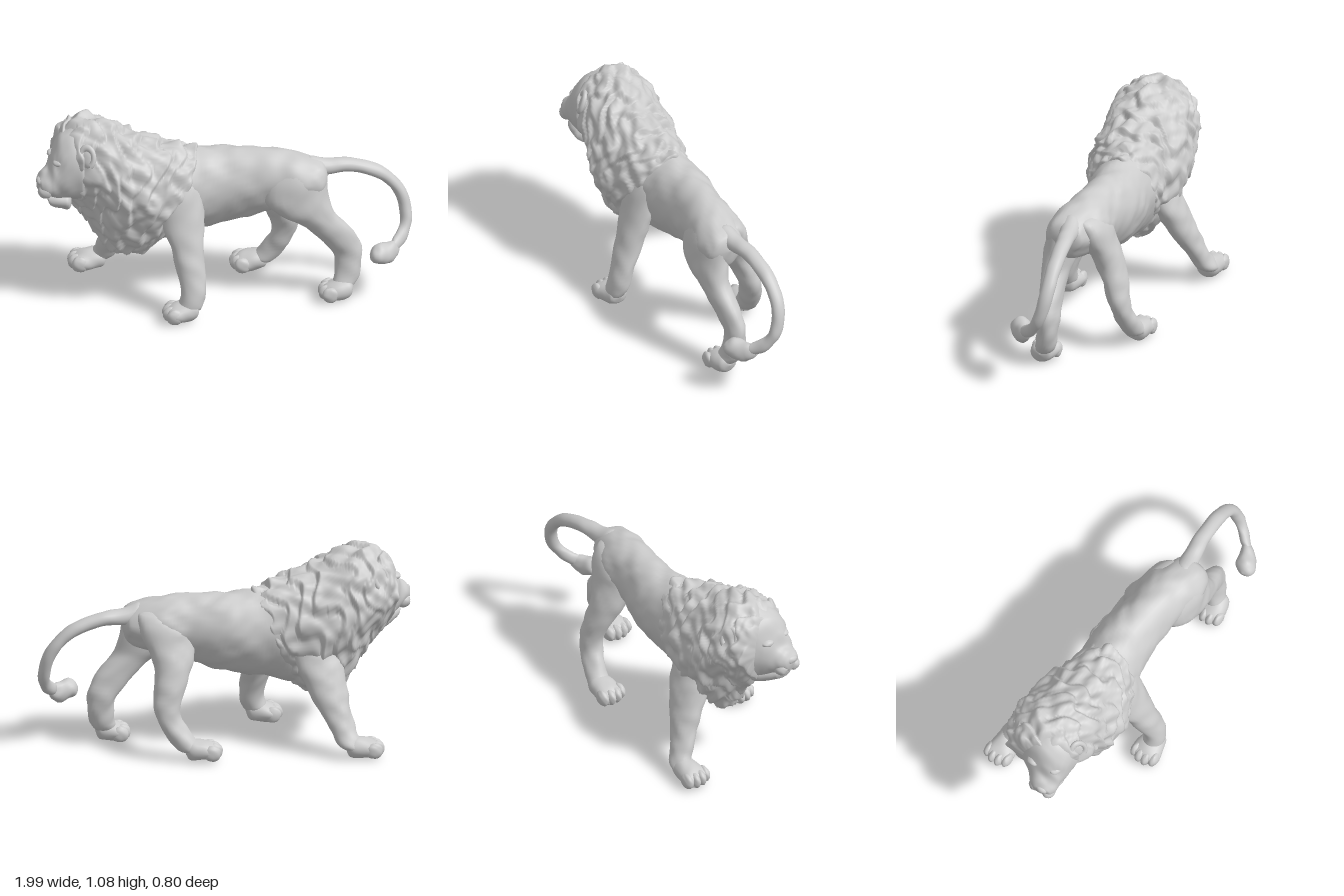
import * as THREE from 'three';
import { mergeVertices } from 'three/addons/utils/BufferGeometryUtils.js';

const material = new THREE.MeshStandardMaterial({ color: 0xcccccc, roughness: 0.8 });
const V = (x, y, z = 0) => new THREE.Vector3(x, y, z);

// Smooth pseudo-noise in about -1..1
const noise = (x, y, z) =>
  (Math.sin(x * 1.3 + 2.1 * Math.sin(y * 0.9 + z)) +
   Math.sin(y * 1.7 + 1.7 * Math.sin(z * 1.1 - x)) +
   Math.sin(z * 1.5 + 1.9 * Math.sin(x * 0.8 + y))) / 3;

// Loft of oval sections [x1, y1, x2, y2, z, halfWidth]: the two points span the
// oval in side view, z and halfWidth place it sideways. Ends are domed.
// taper narrows the second side, yaw turns the first end sideways.
function loft(name, sections, { rings = 40, sides = 28, dome = 0.06, bump = 0.005, taper = 0, yaw = 0, shape = () => 1 } = {}) {
  const curve = (f) => new THREE.CatmullRomCurve3(sections.map(f), false, 'catmullrom', 0.5);
  const first = curve((s) => V(s[0], s[1]));
  const second = curve((s) => V(s[2], s[3]));
  const across = curve((s) => V(s[4], s[5]));
  const pos = [], index = [];
  for (let i = 0; i <= rings; i++) {
    const t = i / rings;
    const a = first.getPoint(t), b = second.getPoint(t), w = across.getPoint(t);
    const mid = a.clone().add(b).multiplyScalar(0.5);
    const half = a.sub(b).multiplyScalar(0.5);
    const e = Math.min(1, Math.min(t, 1 - t) / dome);
    const end = Math.max(0.02, Math.sqrt(1 - (1 - e) ** 2));
    for (let j = 0; j < sides; j++) {
      const ang = (j / sides) * Math.PI * 2;
      const c = Math.cos(ang);
      const s = Math.sin(ang) * (1 - taper * Math.max(0, -c));
      const k = end * shape(t, ang);
      const p = V(mid.x + half.x * c * k, mid.y + half.y * c * k, w.x + w.y * s * k);
      const n = noise(p.x * 32, p.y * 28, p.z * 32) * bump * end;
      const dir = V(half.x * c, half.y * c, w.y * s).normalize();
      p.addScaledVector(dir, n);
      p.x += yaw * (1 - t) * (p.z - w.x);
      pos.push(p.x, p.y, p.z);
      if (i < rings) {
        const q = i * sides + j, r = i * sides + ((j + 1) % sides);
        index.push(q, r, q + sides, r, r + sides, q + sides);
      }
    }
  }
  for (let j = 1; j < sides - 1; j++) {
    const o = rings * sides;
    index.push(0, j + 1, j, o, o + j, o + j + 1);
  }
  // Turn the faces outward by the sign of the enclosed volume
  let volume = 0;
  const at = (i) => V(pos[i * 3], pos[i * 3 + 1], pos[i * 3 + 2]);
  for (let i = 0; i < index.length; i += 3)
    volume += at(index[i]).dot(at(index[i + 1]).cross(at(index[i + 2])));
  if (volume < 0) index.reverse();
  const g = new THREE.BufferGeometry();
  g.setAttribute('position', new THREE.Float32BufferAttribute(pos, 3));
  g.setIndex(index);
  g.computeVertexNormals();
  const mesh = new THREE.Mesh(g, material);
  mesh.name = name;
  return mesh;
}

// Stretched ball, slightly lumpy
function blob(name, [x, y, z], [rx, ry, rz]) {
  let g = new THREE.SphereGeometry(1, 20, 14);
  g.deleteAttribute('uv');
  g.deleteAttribute('normal');
  g = mergeVertices(g);
  const p = g.attributes.position;
  for (let i = 0; i < p.count; i++) {
    const v = V(0, 0, 0).fromBufferAttribute(p, i);
    v.multiplyScalar(1 + 0.06 * noise(v.x * 3 + x * 9, v.y * 3, v.z * 3 + z * 9));
    p.setXYZ(i, v.x * rx, v.y * ry, v.z * rz);
  }
  g.computeVertexNormals();
  const mesh = new THREE.Mesh(g, material);
  mesh.position.set(x, y, z);
  mesh.name = name;
  return mesh;
}

// Leg with a paw whose toes point to -x
function leg(name, sections, toeX, heelX, z) {
  const group = new THREE.Group();
  group.name = name;
  group.add(loft('limb', sections));
  group.add(loft('paw', [
    [heelX, 0.11, heelX - 0.01, 0.03, z, 0.045],
    [heelX - 0.05, 0.125, heelX - 0.05, 0.012, z, 0.064],
    [toeX + 0.07, 0.108, toeX + 0.07, 0.008, z, 0.078],
    [toeX + 0.015, 0.085, toeX + 0.015, 0.018, z, 0.066]], { rings: 20, dome: 0.15 }));
  for (let i = 0; i < 4; i++) {
    const off = (i - 1.5) / 1.5;
    group.add(blob('toe', [toeX + 0.042 + 0.018 * off * off, 0.056, z + off * 0.056], [0.045, 0.043, 0.025]));
  }
  return group;
}

export function createModel() {
  const model = new THREE.Group();
  model.name = 'lion';

  // Trunk, swinging slightly sideways toward the rump
  model.add(loft('body', [
    [-0.55, 0.92, -0.55, 0.42, 0.01, 0.16],
    [-0.35, 0.90, -0.38, 0.34, 0.01, 0.18],
    [-0.18, 0.865, -0.2, 0.375, 0.01, 0.172],
    [0.0, 0.85, 0.0, 0.42, 0.0, 0.157],
    [0.2, 0.85, 0.2, 0.475, 0.03, 0.135],
    [0.35, 0.83, 0.36, 0.53, 0.05, 0.145],
    [0.47, 0.80, 0.48, 0.56, 0.08, 0.12],
    [0.55, 0.765, 0.55, 0.63, 0.08, 0.07]], { rings: 60, sides: 36, bump: 0.007, taper: 0.22 }));

  // Mane in overlapping ragged collars, its rear edge slanting down to the chest
  const collars = 7;
  model.add(loft('mane', [
    [-0.88, 0.99, -0.87, 0.66, 0.025, 0.145],
    [-0.77, 1.065, -0.79, 0.57, 0.01, 0.205],
    [-0.63, 1.06, -0.71, 0.47, 0.005, 0.235],
    [-0.49, 0.985, -0.63, 0.33, 0.01, 0.25],
    [-0.35, 0.93, -0.52, 0.28, 0.02, 0.245],
    [-0.22, 0.885, -0.42, 0.285, 0.02, 0.21],
    [-0.10, 0.855, -0.31, 0.36, 0.015, 0.165]], {
    rings: 150, sides: 110, bump: 0.016, taper: 0.38, yaw: 0.25,
    shape: (t, a) => {
      const ragged = 0.3 * Math.sin(a * 7 + 2 * Math.sin(t * 9)) + 0.25 * Math.sin(a * 4 + t * 13);
      const u = t * collars + ragged;
      const step = u - Math.floor(u);
      const flare = step < 0.8 ? step / 0.8 : (1 - step) / 0.2;
      return 0.965 + 0.075 * flare + 0.015 * Math.sin(a * 19 + 3 * Math.floor(u));
    } }));

  // Head, turned a little to its left
  const head = new THREE.Group();
  head.name = 'head';
  head.add(loft('skull', [
    [-0.99, 0.785, -0.985, 0.715, 0.12, 0.045],
    [-0.965, 0.815, -0.95, 0.695, 0.115, 0.07],
    [-0.93, 0.85, -0.92, 0.68, 0.10, 0.085],
    [-0.905, 0.92, -0.88, 0.65, 0.075, 0.11],
    [-0.85, 1.01, -0.82, 0.63, 0.045, 0.155],
    [-0.73, 1.06, -0.72, 0.62, 0.025, 0.18]], { bump: 0.007, yaw: 0.2 }));
  head.add(loft('lowerJaw', [
    [-0.945, 0.69, -0.93, 0.64, 0.105, 0.045],
    [-0.91, 0.70, -0.90, 0.615, 0.095, 0.065],
    [-0.80, 0.72, -0.80, 0.575, 0.05, 0.12]], { rings: 20, dome: 0.15 }));
  head.add(blob('nose', [-0.975, 0.775, 0.12], [0.022, 0.022, 0.036]));
  for (const s of [-1, 1]) {
    head.add(blob('cheek', [-0.95, 0.725, 0.11 + s * 0.04], [0.04, 0.038, 0.036]));
    head.add(blob('brow', [-0.885 + s * 0.01, 0.885, 0.078 + s * 0.058], [0.035, 0.02, 0.036]));
    head.add(blob('eye', [-0.893 + s * 0.01, 0.853, 0.08 + s * 0.06], [0.018, 0.013, 0.02]));
    // Ear: rim curling over the top and back of a shallow bowl
    const ear = new THREE.Group();
    ear.name = 'ear';
    const rim = new THREE.Mesh(new THREE.TorusGeometry(0.038, 0.014, 10, 24, Math.PI * 1.35), material);
    rim.name = 'earRim';
    rim.rotation.z = -Math.PI / 3;
    ear.add(rim, blob('earBowl', [0, 0, -0.012], [0.042, 0.042, 0.02]));
    ear.position.set(-0.765 + s * 0.03, 0.935, 0.02 + s * 0.172);
    ear.rotation.set(-s * 0.4, -s * 0.45, 0);
    ear.scale.set(1, 1.35, s);
    head.add(ear);
  }
  model.add(head);

  // Legs in mid-stride
  model.add(leg('leftFrontLeg', [
    [-0.32, 0.78, -0.16, 0.78, 0.09, 0.05],
    [-0.355, 0.66, -0.12, 0.68, 0.13, 0.07],
    [-0.345, 0.53, -0.115, 0.56, 0.165, 0.075],
    [-0.30, 0.40, -0.12, 0.40, 0.22, 0.07],
    [-0.27, 0.28, -0.12, 0.28, 0.27, 0.06],
    [-0.25, 0.16, -0.12, 0.15, 0.31, 0.056],
    [-0.28, 0.07, -0.16, 0.05, 0.32, 0.06]], -0.35, -0.15, 0.32));
  model.add(leg('rightFrontLeg', [
    [-0.54, 0.70, -0.28, 0.68, -0.08, 0.065],
    [-0.58, 0.55, -0.32, 0.55, -0.125, 0.08],
    [-0.60, 0.42, -0.36, 0.44, -0.175, 0.08],
    [-0.61, 0.30, -0.42, 0.30, -0.23, 0.07],
    [-0.63, 0.18, -0.49, 0.18, -0.28, 0.057],
    [-0.66, 0.10, -0.53, 0.09, -0.32, 0.056],
    [-0.70, 0.07, -0.59, 0.05, -0.325, 0.06]], -0.78, -0.57, -0.32));
  model.add(leg('leftHindLeg', [
    [0.28, 0.80, 0.47, 0.80, 0.10, 0.05],
    [0.21, 0.68, 0.53, 0.74, 0.12, 0.08],
    [0.21, 0.59, 0.545, 0.64, 0.13, 0.088],
    [0.29, 0.51, 0.565, 0.55, 0.14, 0.083],
    [0.40, 0.45, 0.60, 0.48, 0.14, 0.07],
    [0.50, 0.35, 0.685, 0.38, 0.13, 0.06],
    [0.575, 0.25, 0.725, 0.27, 0.12, 0.052],
    [0.58, 0.15, 0.715, 0.15, 0.135, 0.054],
    [0.55, 0.07, 0.67, 0.05, 0.16, 0.06]], 0.49, 0.68, 0.165));
  model.add(leg('rightHindLeg', [
    [0.26, 0.79, 0.46, 0.79, 0.01, 0.05],
    [0.19, 0.68, 0.48, 0.73, -0.025, 0.078],
    [0.18, 0.59, 0.455, 0.63, -0.05, 0.082],
    [0.20, 0.50, 0.41, 0.52, -0.09, 0.08],
    [0.24, 0.40, 0.41, 0.40, -0.135, 0.068],
    [0.28, 0.28, 0.42, 0.29, -0.165, 0.056],
    [0.25, 0.19, 0.385, 0.19, -0.185, 0.054],
    [0.20, 0.12, 0.32, 0.09, -0.205, 0.058],
    [0.16, 0.08, 0.26, 0.04, -0.215, 0.06]], 0.065, 0.27, -0.215));

  // Tail curling down and to the side, with a tuft
  model.add(loft('tail', [
    [0.42, 0.82, 0.45, 0.68, 0.07, 0.06],
    [0.55, 0.78, 0.54, 0.69, 0.05, 0.05],
    [0.69, 0.765, 0.67, 0.695, 0.035, 0.042],
    [0.85, 0.70, 0.82, 0.64, 0.03, 0.04],
    [0.96, 0.58, 0.905, 0.55, 0.035, 0.037],
    [0.998, 0.44, 0.935, 0.43, 0.065, 0.036],
    [0.96, 0.32, 0.915, 0.37, 0.12, 0.035],
    [0.88, 0.265, 0.87, 0.33, 0.18, 0.038]], { rings: 60, sides: 20, bump: 0.003 }));
  model.add(loft('tailTuft', [
    [0.93, 0.28, 0.91, 0.34, 0.15, 0.025],
    [0.87, 0.225, 0.86, 0.335, 0.2, 0.05],
    [0.81, 0.235, 0.81, 0.345, 0.22, 0.055],
    [0.75, 0.26, 0.76, 0.325, 0.23, 0.035]], { rings: 24, dome: 0.15, bump: 0.008 }));

  return model;
}
